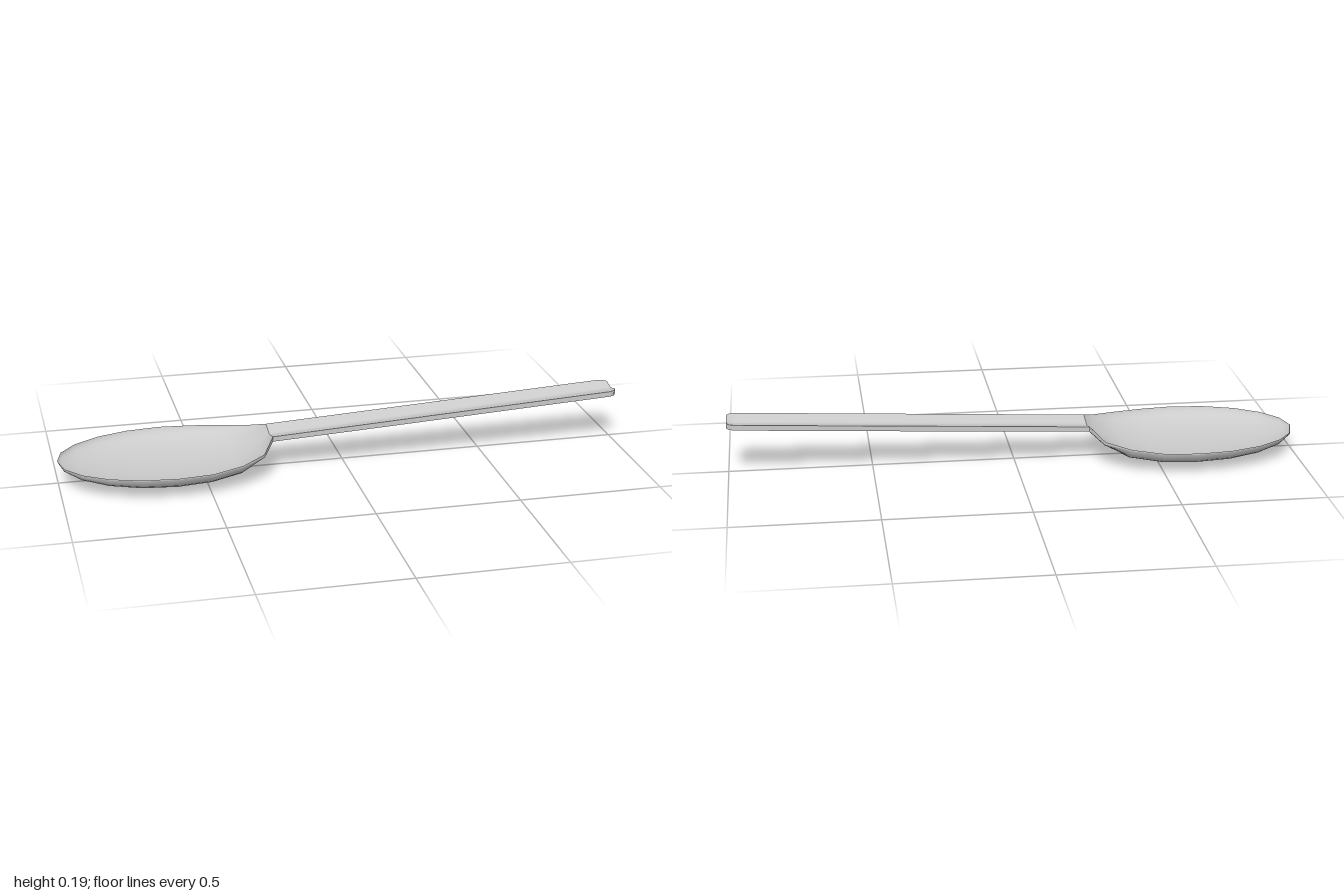
import * as THREE from 'three';
import { mergeGeometries } from 'three/addons/utils/BufferGeometryUtils.js';

const N = 16; // points across the width

// Smooth sheet through rows of points
function sheet(rows) {
  const n = rows[0].length, index = [];
  for (let i = 0; i < rows.length - 1; i++) {
    for (let j = 0; j < n - 1; j++) {
      const a = i * n + j, b = a + n;
      index.push(a, a + 1, b, a + 1, b + 1, b);
    }
  }
  const g = new THREE.BufferGeometry().setFromPoints(rows.flat());
  g.setIndex(index);
  g.computeVertexNormals();
  return g;
}

// One side of a cross-section, from -z to +z; v = 0 is a round dish, v = 1 a shallow V
function across(x, w, edgeY, depth, v) {
  return Array.from({ length: N + 1 }, (_, j) => {
    const t = Math.sin((j / N - 0.5) * Math.PI);
    const dip = THREE.MathUtils.lerp(Math.sqrt(Math.max(0, 1 - t * t)), 1 - Math.abs(t), v);
    return new THREE.Vector3(x, edgeY - depth * dip, w * t);
  });
}

// Closed shell through stations [x, half width, rim y, inner depth, edge thickness, outer depth, v]
function shell(stations, capped) {
  const top = stations.map(([x, w, y, d, , , v]) => across(x, w, y, d, v));
  const bottom = stations.map(([x, w, y, , e, d, v]) => across(x, w, y - e, d, v));
  const parts = [
    sheet(top),
    sheet(bottom.map((r) => [...r].reverse())),
    sheet(top.map((r, i) => [r[N], bottom[i][N]])),
    sheet(top.map((r, i) => [bottom[i][0], r[0]])),
  ];
  if (capped) parts.push(sheet([top.at(-1), bottom.at(-1)]));
  return mergeGeometries(parts);
}

export function createModel() {
  const group = new THREE.Group();
  const material = new THREE.MeshStandardMaterial({ color: 0xcccccc, side: THREE.DoubleSide });
  const add = (name, geometry) => {
    const mesh = new THREE.Mesh(geometry, material);
    mesh.name = name;
    group.add(mesh);
  };

  const neck = [-0.26, 0.064, 0.13, 0.015, 0.018, 0.015, 1];

  // Bowl: half ellipsoid that rises into the neck
  const bowl = [];
  for (let k = 10; k >= 4; k--) {
    const a = (k * Math.PI) / 10, s = Math.sin(a);
    bowl.push([-0.615 + 0.385 * Math.cos(a), 0.246 * s, 0.081, 0.064 * s, 0.004 * s, 0.076 * s, 0]);
  }
  bowl.push(
    [-0.389, 0.198, 0.087, 0.05, 0.005, 0.062, 0],
    [-0.304, 0.144, 0.1, 0.022, 0.009, 0.025, 0.3],
    neck
  );
  add('bowl', shell(bowl, false));

  // Handle: long, gently rising V-shaped strip with clipped end corners
  const handle = [neck];
  for (const [x, w] of [[0.15, 0.064], [0.56, 0.064], [0.97, 0.064], [0.99, 0.058], [1, 0.042]]) {
    const edgeY = 0.13 + (0.065 * (x + 0.26)) / 1.26;
    handle.push([x, w, edgeY, 0.015 * (w / 0.064), 0.019, 0.015 * (w / 0.064), 1]);
  }
  add('handle', shell(handle, true));
  return group;
}
